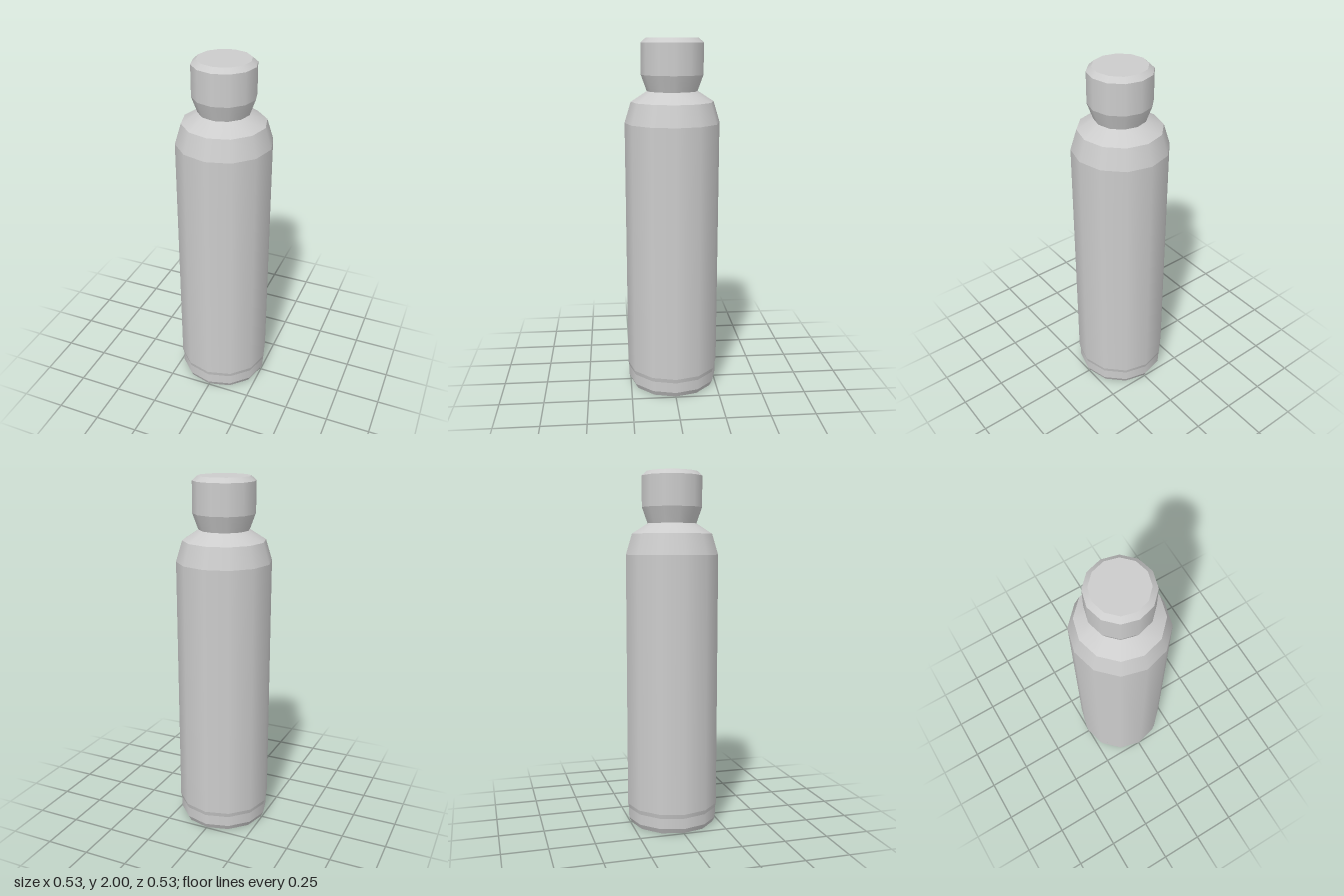
import * as THREE from 'three';

const SIDES = 12;

export function createModel() {
  const model = new THREE.Group();
  model.name = 'flask';
  const grey = new THREE.MeshStandardMaterial({ color: 0xcccccc });
  grey.name = 'plain grey';

  // Each band is its own lathe: smooth around, crisp between bands.
  const addPart = (name, profile) => {
    const part = new THREE.Group();
    part.name = name;
    for (let i = 0; i < profile.length - 1; i++) {
      const points = [profile[i], profile[i + 1]].map(([r, y]) => new THREE.Vector2(r, y));
      const band = new THREE.Mesh(new THREE.LatheGeometry(points, SIDES), grey);
      band.name = name + 'Band' + (i + 1);
      part.add(band);
    }
    model.add(part);
  };

  // Closed base with a small chamfer and a slightly recessed foot
  addPart('base', [[0, 0], [0.243, 0], [0.258, 0.03], [0.258, 0.09], [0.264, 0.115]]);
  // Long straight body
  addPart('body', [[0.264, 0.115], [0.264, 1.545]]);
  // Steep shoulder, then a shallow slope into the neck
  addPart('shoulder', [[0.264, 1.545], [0.229, 1.66], [0.14, 1.717]]);
  // Flared neck
  addPart('neck', [[0.14, 1.717], [0.172, 1.805]]);
  // Cap with chamfered rim
  addPart('cap', [[0.172, 1.805], [0.172, 1.975], [0.144, 2], [0, 2]]);

  return model;
}
